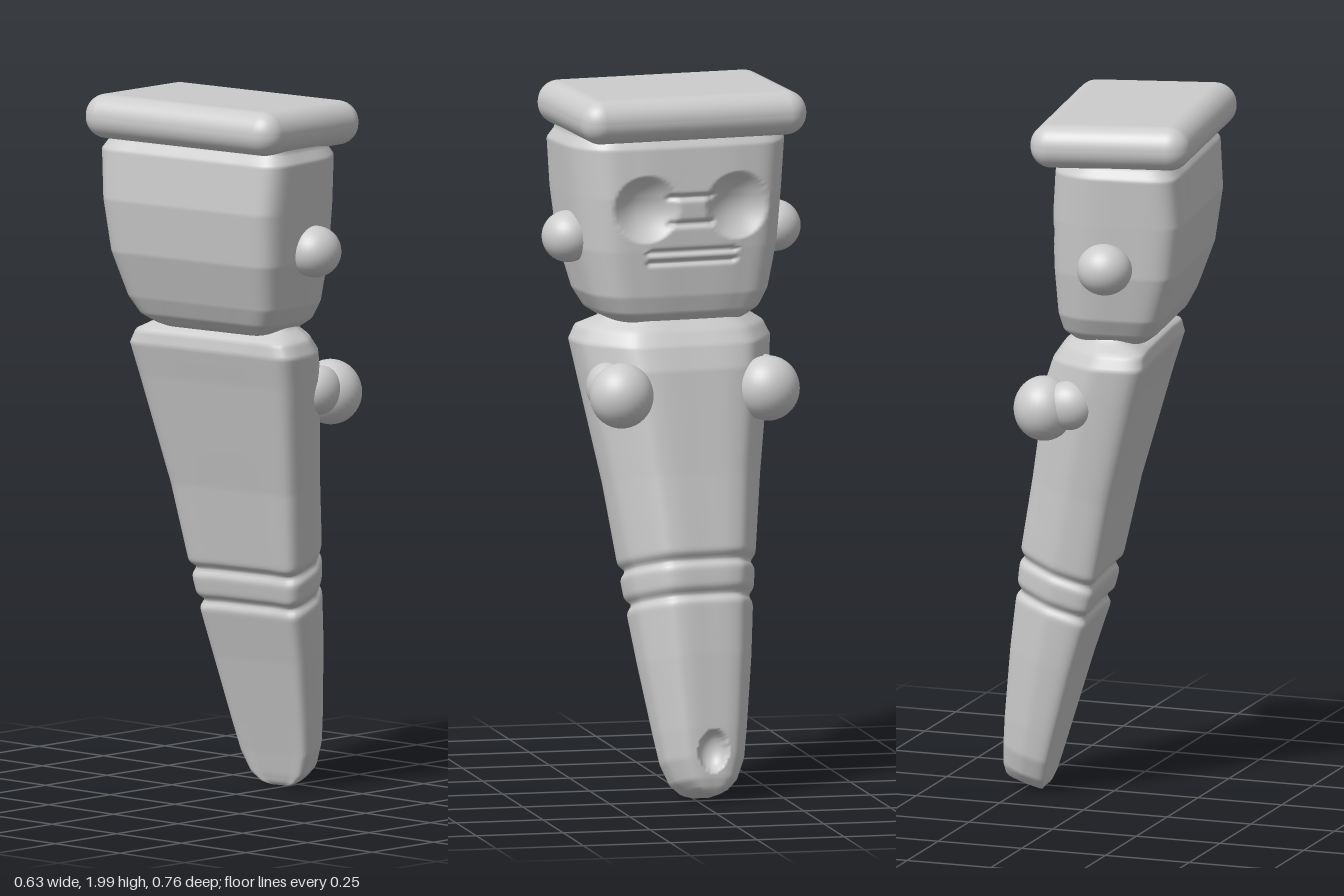
import * as THREE from 'three';
import { RoundedBoxGeometry } from 'three/addons/geometries/RoundedBoxGeometry.js';

// Lofts a mirrored half outline [depth 0..1, width 0..1] through rows [y, backX, frontX, halfWidth, skew].
// inset(y) shrinks a row; dent(y, z) pushes the front face back.
function loft(half, rows, around, steps, inset, dent) {
  const right = half.map(([d, w]) => new THREE.Vector3(d, 0, -w));
  const left = half.slice(1, -1).reverse().map(([d, w]) => new THREE.Vector3(d, 0, w));
  const outline = new THREE.CatmullRomCurve3([...right, ...left], true).getSpacedPoints(around).slice(0, around);
  const pos = [], index = [];
  const y0 = rows[0][0], y1 = rows[rows.length - 1][0];
  for (let i = 0; i <= steps; i++) {
    const y = y0 + (y1 - y0) * i / steps;
    let k = 0;
    while (k < rows.length - 2 && rows[k + 1][0] < y) k++;
    const t = (y - rows[k][0]) / (rows[k + 1][0] - rows[k][0]);
    const [, xb, xf, hw, skew] = rows[k].map((v, n) => v + (rows[k + 1][n] - v) * t);
    const g = inset(y), depth = xf - xb - 2 * g;
    for (const p of outline) {
      const z = (hw - g) * p.z;
      const py = y + skew * (p.x - 0.5) * depth;
      const x = xb + g + depth * p.x;
      pos.push(x - (p.x > 0.85 ? dent(py, z) : 0), py, z);
    }
  }
  for (let i = 0; i < steps; i++) {
    for (let j = 0; j < around; j++) {
      const a = i * around + j, b = i * around + (j + 1) % around;
      index.push(a, b, b + around, a, b + around, a + around);
    }
  }
  // close both ends
  for (let j = 1; j < around - 1; j++) {
    const top = steps * around;
    index.push(0, j + 1, j, top, top + j, top + j + 1);
  }
  const geo = new THREE.BufferGeometry();
  geo.setAttribute('position', new THREE.Float32BufferAttribute(pos, 3));
  geo.setIndex(index);
  geo.computeVertexNormals();
  return geo;
}

const bell = (v, centre, width) => Math.exp(-(((v - centre) / width) ** 2));
const bowl = (a, b) => Math.max(0, 1 - a * a - b * b);

export function createModel() {
  const model = new THREE.Group();
  model.name = 'carvedFigure';
  const figure = new THREE.Group();
  figure.name = 'figure';
  figure.rotation.y = 0.12;
  model.add(figure);

  const grey = new THREE.MeshStandardMaterial({ color: 0xcccccc });
  grey.name = 'light grey';

  function add(name, geo, x = 0, y = 0, z = 0) {
    const mesh = new THREE.Mesh(geo, grey);
    mesh.name = name;
    mesh.position.set(x, y, z);
    figure.add(mesh);
    return mesh;
  }
  function blob(name, x, y, z, rx, ry, rz) {
    add(name, new THREE.SphereGeometry(1, 32, 20), x, y, z).scale.set(rx, ry, rz);
  }

  // Leaning, tapered body: flat back, chamfered front, two grooves and a dimple near the tip
  const bodyOutline = [[1, 0], [0.99, 0.45], [0.93, 0.64], [0.52, 0.97], [0.42, 1],
    [0.1, 1], [0, 0.93], [0, 0.5], [0, 0]];
  const bodyRows = [
    [0.02, 0.205, 0.295, 0.025, 0.3],
    [0.03, 0.195, 0.305, 0.06, 0.3],
    [0.06, 0.185, 0.31, 0.092, 0.3],
    [0.12, 0.17, 0.308, 0.117, 0.3],
    [0.2, 0.148, 0.303, 0.13, 0.28],
    [0.4, 0.093, 0.284, 0.158, 0.28],
    [0.55, 0.047, 0.265, 0.175, 0.28],
    [0.68, 0.017, 0.25, 0.191, 0.28],
    [0.9, -0.03, 0.213, 0.22, 0.22],
    [1.2, -0.112, 0.17, 0.27, 0.1],
    [1.28, -0.14, 0.147, 0.283, 0],
    [1.32, -0.135, 0.12, 0.265, 0],
    [1.35, -0.08, 0.09, 0.215, 0],
    [1.39, -0.07, 0.07, 0.19, 0],
  ];
  add('body', loft(bodyOutline, bodyRows, 96, 200,
    (y) => 0.013 * (bell(y, 0.66, 0.014) + bell(y, 0.565, 0.014)),
    (y, z) => 0.045 * Math.sqrt(bowl(z / 0.042, (y - 0.155) / 0.057))));

  // Head with hollow eyes, nose bridge lines and mouth lines
  const headOutline = [[1, 0], [0.99, 0.5], [0.93, 0.8], [0.72, 0.97], [0.4, 1],
    [0.1, 0.97], [0.02, 0.88], [0, 0.5], [0, 0]];
  const headRows = [
    [1.32, -0.08, 0.06, 0.15, 0],
    [1.345, -0.135, 0.09, 0.2, 0],
    [1.37, -0.165, 0.115, 0.237, 0],
    [1.42, -0.19, 0.127, 0.265, 0],
    [1.55, -0.235, 0.135, 0.295, 0],
    [1.7, -0.255, 0.138, 0.31, 0],
    [1.84, -0.245, 0.128, 0.322, 0],
    [1.87, -0.225, 0.11, 0.305, 0],
    [1.9, -0.22, 0.11, 0.3, 0],
  ];
  add('head', loft(headOutline, headRows, 160, 120, () => 0, (y, z) => {
    const w = Math.abs(z);
    let d = 0.045 * bowl((w - 0.135) / 0.095, (y - 1.67) / 0.095);
    if (w < 0.065) d += 0.012 * (bell(y, 1.7, 0.008) + bell(y, 1.625, 0.008));
    if (w < 0.13) d += 0.012 * (bell(y, 1.547, 0.007) + bell(y, 1.517, 0.007));
    return d;
  }));

  // Flat rounded slab on top
  add('cap', new RoundedBoxGeometry(0.46, 0.125, 0.67, 6, 0.06), -0.057, 1.928, -0.007).rotation.z = -0.03;

  // Ears and hands
  for (const [side, s] of [['left', 1], ['right', -1]]) {
    blob(side + 'Ear', -0.045, 1.58, s * 0.308, 0.078, 0.073, 0.073);
    blob(side + 'Hand', 0.15, 1.15, s * 0.218, 0.086, 0.092, 0.09);
    blob(side + 'Wrist', 0.075, 1.165, s * 0.232, 0.075, 0.07, 0.06);
  }
  return model;
}
